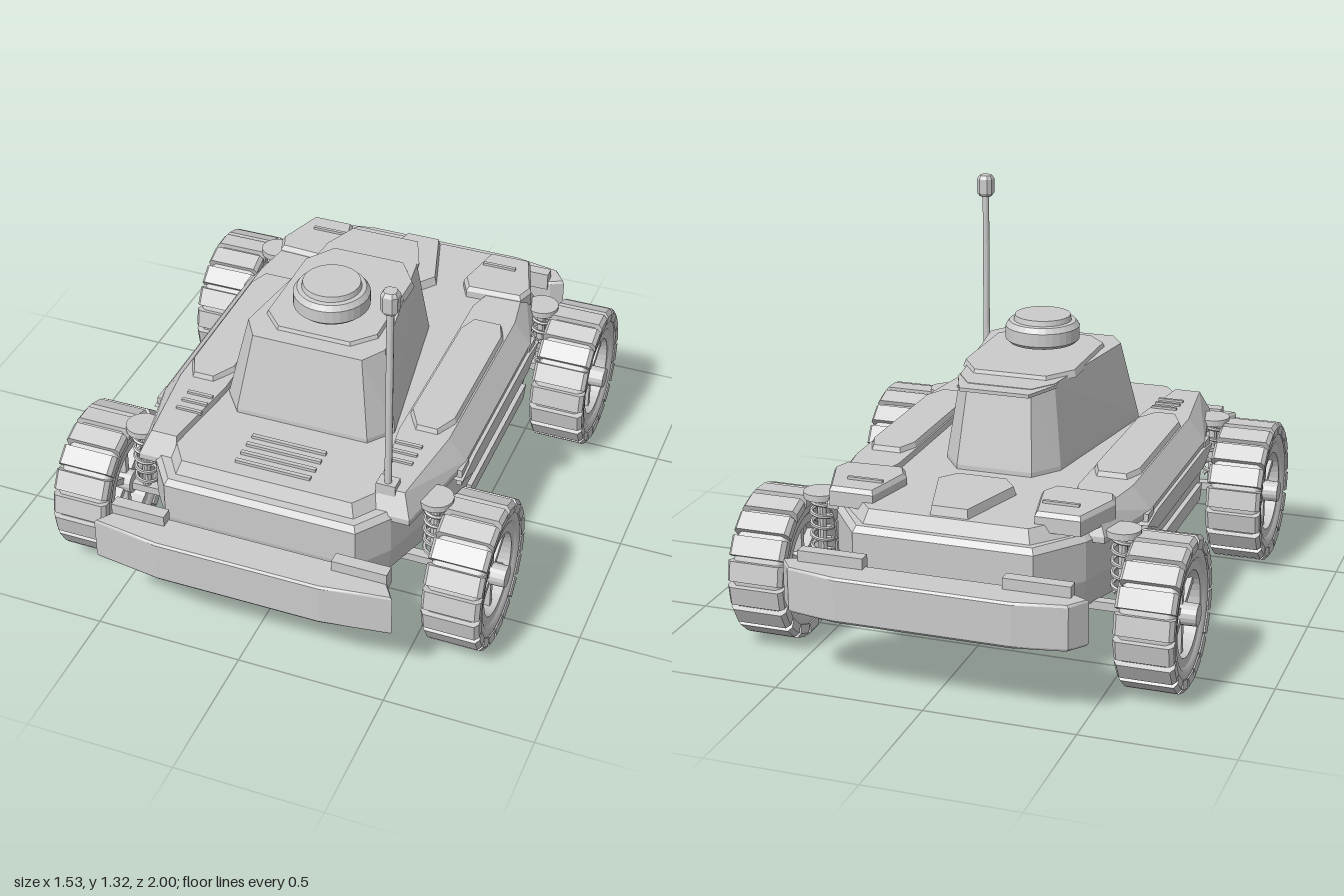
import * as THREE from 'three';
import { ConvexGeometry } from 'three/addons/geometries/ConvexGeometry.js';

const flat = new THREE.MeshStandardMaterial({ color: 0xcccccc, flatShading: true });
const smooth = new THREE.MeshStandardMaterial({ color: 0xcccccc, side: THREE.DoubleSide });

function add(parent, name, geo, x = 0, y = 0, z = 0, mat = flat) {
  const m = new THREE.Mesh(geo, mat);
  m.name = name;
  m.position.set(x, y, z);
  parent.add(m);
  return m;
}
const box = (p, name, w, h, d, x, y, z) => add(p, name, new THREE.BoxGeometry(w, h, d), x, y, z);
const cyl = (p, name, r0, r1, h, x, y, z, n = 24) => add(p, name, new THREE.CylinderGeometry(r1, r0, h, n), x, y, z);

// Plan outlines are [x, z] lists
const sym = half => [...half, ...half.map(([x, z]) => [-x, z]).reverse()];
const flip = pts => pts.map(([x, z]) => [-x, z]);
function inset(pts, d) {
  const c = [0, 1].map(k => {
    const v = pts.map(p => p[k]), lo = Math.min(...v), hi = Math.max(...v);
    return [(lo + hi) / 2, 1 - 2 * d / (hi - lo)];
  });
  return pts.map(p => p.map((v, k) => c[k][0] + (v - c[k][0]) * c[k][1]));
}
// Convex block through [outline, height] levels
function slab(parent, name, ...levels) {
  const pts = levels.flatMap(([o, y]) => o.map(([x, z]) => new THREE.Vector3(x, y, z)));
  return add(parent, name, new ConvexGeometry(pts));
}

function makeWheel() {
  const wheel = new THREE.Group(), spin = new THREE.Group();
  wheel.name = 'wheel';
  spin.rotation.z = -Math.PI / 2; // local +y becomes outward
  wheel.add(spin);
  const V = (r, y) => new THREE.Vector2(r, y);
  const side = [[0.166, 0.078], [0.18, 0.09], [0.2, 0.092], [0.22, 0.086], [0.236, 0.07]];
  const tire = [...side.map(([r, y]) => V(r, -y)), ...[...side].reverse().map(([r, y]) => V(r, y))];
  add(spin, 'tire', new THREE.LatheGeometry(tire, 40), 0, 0, 0, smooth);
  const rim = [V(0.17, -0.082), V(0.14, -0.082), V(0.13, -0.03), V(0.001, -0.03)].reverse()
    .concat([V(0.17, 0.082), V(0.14, 0.082), V(0.13, 0.03), V(0.001, 0.03)]);
  add(spin, 'rim', new THREE.LatheGeometry(rim, 36), 0, 0, 0, new THREE.MeshStandardMaterial({ color: 0xcccccc, flatShading: true, side: THREE.DoubleSide }));
  cyl(spin, 'hub', 0.04, 0.036, 0.2, 0, 0.014, 0, 16);
  // Tread lugs with chamfered shoulders
  const lug = new THREE.Shape([V(-0.095, 0.205), V(0.095, 0.205), V(0.097, 0.235), V(0.085, 0.25), V(-0.085, 0.25), V(-0.097, 0.235)]);
  const lugGeo = new THREE.ExtrudeGeometry(lug, { depth: 0.066, bevelEnabled: false });
  lugGeo.translate(0, 0, -0.033);
  for (let i = 0; i < 18; i++) {
    add(wheel, 'treadLug', lugGeo).rotation.x = i * Math.PI / 9;
  }
  // Spokes on both faces
  for (let i = 0; i < 6; i++) {
    const arm = new THREE.Group();
    arm.name = 'spoke';
    arm.rotation.y = i * Math.PI / 3;
    spin.add(arm);
    for (const s of [-1, 1]) box(arm, 'spokeBar', 0.11, 0.035, 0.022, 0.085, s * 0.045, 0);
  }
  return wheel;
}

function makeSpring() {
  const path = new THREE.CatmullRomCurve3(Array.from({ length: 61 }, (_, i) => {
    const a = i * Math.PI / 6;
    return new THREE.Vector3(Math.cos(a) * 0.034, i / 60 * 0.2, Math.sin(a) * 0.034);
  }));
  return new THREE.TubeGeometry(path, 120, 0.007, 6);
}

export function createModel() {
  const g = new THREE.Group();
  g.name = 'fourWheeledRover';

  // Hull and deck
  const hull = sym([[0.33, 0.81], [0.41, 0.7], [0.53, 0.34], [0.53, -0.34], [0.42, -0.66], [0.3, -0.82]]);
  slab(g, 'lowerHull', [inset(hull, 0.02), 0.26], [hull, 0.36], [hull, 0.49], [inset(hull, 0.015), 0.51]);
  const deck = sym([[0.31, 0.77], [0.38, 0.67], [0.47, 0.35], [0.47, -0.35], [0.41, -0.64], [0.28, -0.79]]);
  slab(g, 'deck', [deck, 0.5], [inset(deck, 0.025), 0.555]);
  for (let i = 0; i < 4; i++) box(g, 'frontGrilleSlat', 0.26, 0.014, 0.014, 0, 0.558, 0.55 + i * 0.045);
  const cover = sym([[0.065, -0.757], [0.14, -0.5], [0.09, -0.435]]);
  slab(g, 'engineCover', [cover, 0.54], [inset(cover, 0.012), 0.585]);

  // Mirrored body details
  for (const s of [1, -1]) {
    const o = pts => (s > 0 ? pts : flip(pts));
    const pod = o([[0.34, 0.7], [0.47, 0.7], [0.54, 0.35], [0.54, -0.35], [0.47, -0.63], [0.36, -0.63], [0.3, -0.4], [0.3, 0.36]]);
    const podTop = o([[0.35, 0.66], [0.44, 0.66], [0.48, 0.35], [0.48, -0.35], [0.44, -0.6], [0.37, -0.6], [0.31, -0.4], [0.31, 0.36]]);
    slab(g, 'sidePod', [pod, 0.48], [pod, 0.5], [podTop, 0.575]);
    const plate = o([[0.36, 0.35], [0.44, 0.35], [0.48, 0.27], [0.48, -0.24], [0.45, -0.31], [0.34, -0.31], [0.31, -0.24], [0.31, 0.27]]);
    slab(g, 'podPlate', [plate, 0.56], [inset(plate, 0.012), 0.592]);
    const cap = o([[0.27, -0.72], [0.42, -0.72], [0.48, -0.54], [0.46, -0.48], [0.26, -0.47], [0.23, -0.53]]);
    slab(g, 'rearShoulderPlate', [cap, 0.53], [cap, 0.58], [inset(cap, 0.01), 0.595]);
    box(g, 'shoulderSlot', 0.12, 0.012, 0.012, s * 0.33, 0.598, -0.635);
    for (let i = 0; i < 3; i++) box(g, 'podSlot', 0.09, 0.012, 0.012, s * 0.37, 0.577, 0.43 + i * 0.045);
    // Lens-shaped flank panels
    const lens = new THREE.Shape([[-0.42, 0.47], [-0.3, 0.42], [0.3, 0.42], [0.42, 0.47], [0.3, 0.485], [-0.3, 0.485]]
      .map(([z, y]) => new THREE.Vector2(z, y)));
    const lensGeo = new THREE.ExtrudeGeometry(lens, { depth: 0.045, bevelEnabled: false });
    add(g, 'flankPanel', lensGeo, s * 0.53 - 0.022, 0, 0).rotation.y = Math.PI / 2;
    const sill = sym([[0.012, 0.3], [0.012, -0.3]]).map(([x, z]) => [x + s * 0.535, z]);
    slab(g, 'sill', [inset(sill, 0.005), 0.3], [sill, 0.36]);
    for (const z of [-0.36, 0.37]) box(g, 'flankVent', 0.02, 0.06, 0.07, s * 0.535, 0.47, z);
  }

  // Cabin with roof plate and rear visor
  const base = sym([[0.23, 0.445], [0.295, 0.36], [0.2, -0.24], [0.13, -0.335]]);
  const roof = sym([[0.19, 0.39], [0.24, 0.31], [0.165, -0.2], [0.11, -0.28]]);
  slab(g, 'cabin', [base, 0.54], [base, 0.57], [roof, 0.84]);
  const plate = sym([[0.13, 0.335], [0.2, 0.26], [0.2, -0.08], [0.13, -0.18]]);
  slab(g, 'roofPlate', [plate, 0.83], [inset(plate, 0.008), 0.853]);
  const visor = sym([[0.17, -0.05], [0.17, -0.21], [0.12, -0.335]]);
  slab(g, 'rearVisor', [visor, 0.826], [visor, 0.838]);

  // Roof hatch
  cyl(g, 'hatchNeck', 0.065, 0.065, 0.04, 0, 0.86, 0.17);
  const dome = [[0, 0.868], [0.115, 0.868], [0.128, 0.88], [0.128, 0.925], [0.115, 0.943], [0.1, 0.945], [0.096, 0.963], [0, 0.963]]
    .map(([r, y]) => new THREE.Vector2(r, y));
  add(g, 'hatch', new THREE.LatheGeometry(dome, 32), 0, 0, 0.17);

  // Antenna
  box(g, 'antennaBase', 0.065, 0.06, 0.05, 0.378, 0.565, 0.645);
  cyl(g, 'antennaMast', 0.012, 0.012, 0.69, 0.38, 0.92, 0.65, 12);
  const head = [[0.395, 0.678], [0.408, 0.665], [0.408, 0.635], [0.395, 0.622], [0.365, 0.622], [0.352, 0.635], [0.352, 0.665], [0.365, 0.678]];
  slab(g, 'antennaHead', [inset(head, 0.008), 1.245], [head, 1.258], [head, 1.31], [inset(head, 0.008), 1.323]);

  // Bumpers
  const front = sym([[0.45, 0.865], [0.51, 0.96], [0.28, 0.995]]);
  slab(g, 'frontBumper', [inset(front, 0.006), 0.257], [front, 0.265], [front, 0.4], [inset(front, 0.006), 0.408]);
  const rear = sym([[0.46, -0.875], [0.505, -0.9], [0.46, -0.965], [0.29, -1]]);
  slab(g, 'rearBumper', [inset(rear, 0.006), 0.257], [rear, 0.265], [rear, 0.4], [inset(rear, 0.006), 0.408]);
  for (const s of [1, -1]) {
    box(g, 'frontBumperBlock', 0.185, 0.065, 0.042, s * 0.38, 0.412, 0.886);
    box(g, 'rearBumperBlock', 0.22, 0.065, 0.042, s * 0.34, 0.412, -0.888);
  }

  // Wheels and suspension
  const spring = makeSpring();
  for (const s of [1, -1]) for (const z of [0.574, -0.574]) {
    const w = makeWheel();
    w.position.set(s * 0.65, 0.256, z);
    if (s < 0) w.rotation.y = Math.PI;
    g.add(w);
    add(g, 'spring', spring, s * 0.515, 0.29, z);
    cyl(g, 'damper', 0.015, 0.015, 0.24, s * 0.515, 0.38, z, 10);
    cyl(g, 'springCap', 0.058, 0.058, 0.022, s * 0.515, 0.507, z);
    box(g, 'axleArm', 0.32, 0.028, 0.035, s * 0.41, 0.25, z);
  }

  // Small canister below the hull
  cyl(g, 'canister', 0.034, 0.034, 0.13, 0, 0.07, 0, 20);
  cyl(g, 'canisterStem', 0.014, 0.014, 0.07, 0, 0.165, 0, 12);
  return g;
}
